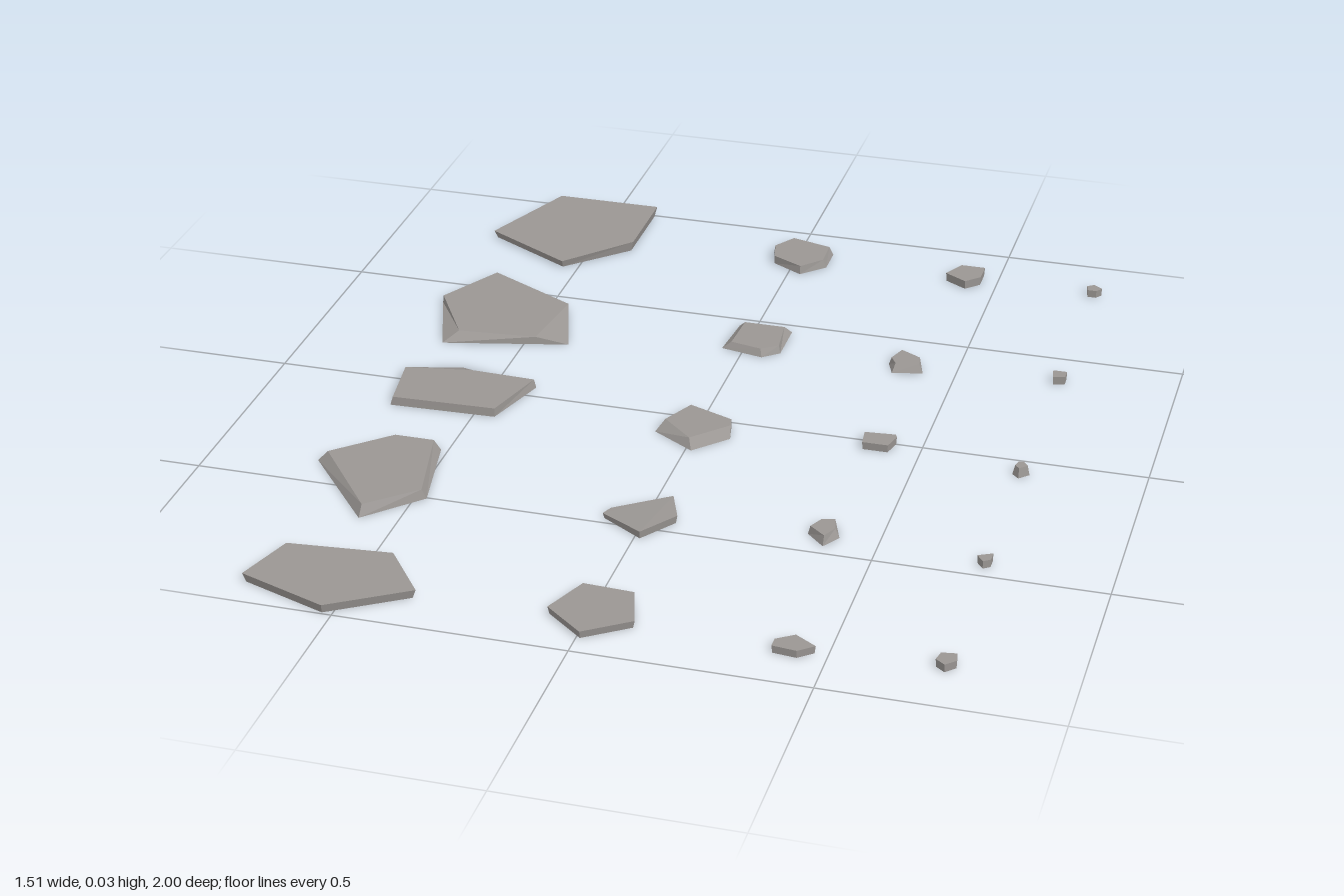
import * as THREE from 'three';

// Outlines are clockwise seen from above, as x, z in thousandths.
// "rim" is the widest outline; with "top" the stone narrows upward to it,
// without it the stone narrows slightly toward the ground.
const largeStones = [
  { rim: [-648, -1000, -397, -1000, -397, -788, -537, -651, -751, -772], y: [25, 25, 25, 18, 18] },
  { rim: [-669, -550, -452, -434, -399, -265, -685, -196, -754, -397],
    top: [-669, -550, -452, -434, -474, -249, -656, -233, -752, -397], y: 18 },
  { rim: [-722, -42, -595, -90, -405, -42, -452, 116, -696, 124],
    top: [-712, -22, -560, -48, -410, -42, -452, 114, -690, 122], y: 20 },
  { rim: [-622, 291, -516, 291, -474, 503, -585, 619, -759, 407],
    top: [-622, 291, -532, 291, -484, 505, -585, 598, -738, 400], y: 22 },
  { rim: [-680, 788, -452, 767, -357, 894, -521, 1000, -722, 926], y: 20 },
];
const mediumStones = [
  { rim: [-29, -926, 82, -899, 82, -825, 29, -772, -45, -815, -61, -873],
    top: [-24, -926, 72, -899, 74, -825, 29, -776, -45, -815, -58, -873], y: 20 },
  { rim: [-40, -466, 87, -466, 87, -354, 50, -323, -50, -344],
    top: [-24, -455, 71, -455, 82, -360, 45, -333, -29, -349], y: 17 },
  { rim: [-34, -21, 71, 21, 82, 74, 13, 148, -87, 85],
    top: [-34, -21, 71, 21, 77, 48, 3, 127, -71, 58], y: 20 },
  { rim: [40, 381, 71, 460, 13, 545, -87, 481, -77, 455], y: [18, 18, 18, 12, 12] },
  { rim: [-40, 772, 71, 778, 103, 884, 8, 952, -82, 878], y: 17 },
];
const smallStones = [
  { rim: [405, -884, 463, -884, 463, -831, 431, -799, 378, -831], y: 21 },
  { rim: [357, -413, 410, -386, 426, -344, 357, -328, 341, -370],
    top: [362, -413, 410, -386, 415, -354, 362, -344, 347, -370], y: 18 },
  { rim: [368, -5, 437, -11, 442, 0, 431, 42, 373, 42], y: 18 },
  { rim: [362, 392, 399, 386, 415, 429, 389, 471, 347, 429],
    top: [368, 395, 396, 388, 405, 425, 389, 460, 352, 429], y: 20 },
  { rim: [389, 873, 426, 847, 474, 878, 442, 905, 389, 899], y: 17 },
];
const pebbles = [
  { rim: [717, -857, 733, -868, 754, -852, 743, -836, 722, -836], y: 18 },
  { rim: [717, -402, 749, -402, 749, -376, 722, -370], y: 20 },
  { rim: [717, 42, 733, 37, 749, 58, 728, 79, 712, 63],
    top: [721, 44, 733, 41, 744, 57, 728, 73, 717, 61], y: 22 },
  { rim: [712, 450, 743, 434, 743, 460, 728, 471], y: 18 },
  { rim: [717, 836, 749, 831, 754, 857, 733, 878, 712, 862], y: 18 },
];

const toPoints = (list) => {
  const points = [];
  for (let i = 0; i < list.length; i += 2) points.push(new THREE.Vector2(list[i], list[i + 1]).divideScalar(1000));
  return points;
};

// Draws an outline in toward its middle
function inset(points, scale) {
  const centre = new THREE.Vector2();
  points.forEach((p) => centre.addScaledVector(p, 1 / points.length));
  return points.map((p) => centre.clone().lerp(p, scale));
}

function stoneGeometry({ rim, top, y }) {
  const wide = toPoints(rim);
  const upper = top ? toPoints(top) : wide;
  const lower = top ? wide : inset(wide, 0.96);
  const n = wide.length;
  const vertices = [], index = [];
  lower.forEach((p) => vertices.push(p.x, 0, p.y));
  upper.forEach((p, i) => vertices.push(p.x, (Array.isArray(y) ? y[i] : y) / 1000, p.y));
  for (let i = 0; i < n; i++) {
    const j = (i + 1) % n;
    index.push(j, i, n + i, j, n + i, n + j); // side
    if (i > 0 && j > 0) {
      index.push(n, n + j, n + i); // top
      index.push(0, i, j); // underside
    }
  }
  const indexed = new THREE.BufferGeometry();
  indexed.setAttribute('position', new THREE.Float32BufferAttribute(vertices, 3));
  indexed.setIndex(index);
  const geometry = indexed.toNonIndexed();
  geometry.computeVertexNormals();
  return geometry;
}

export function createModel() {
  const model = new THREE.Group();
  model.name = 'flatStones';
  const stone = new THREE.MeshStandardMaterial({ color: 0x9a9693 });
  stone.name = 'grey stone';
  stone.flatShading = true;

  // Four columns, from broad slabs to pebbles
  const columns = { largeStone: largeStones, mediumStone: mediumStones, smallStone: smallStones, pebble: pebbles };
  for (const [name, specs] of Object.entries(columns)) {
    const column = new THREE.Group();
    column.name = `${name}Column`;
    specs.forEach((spec, i) => {
      const mesh = new THREE.Mesh(stoneGeometry(spec), stone);
      mesh.name = `${name}${i + 1}`;
      column.add(mesh);
    });
    model.add(column);
  }
  return model;
}
